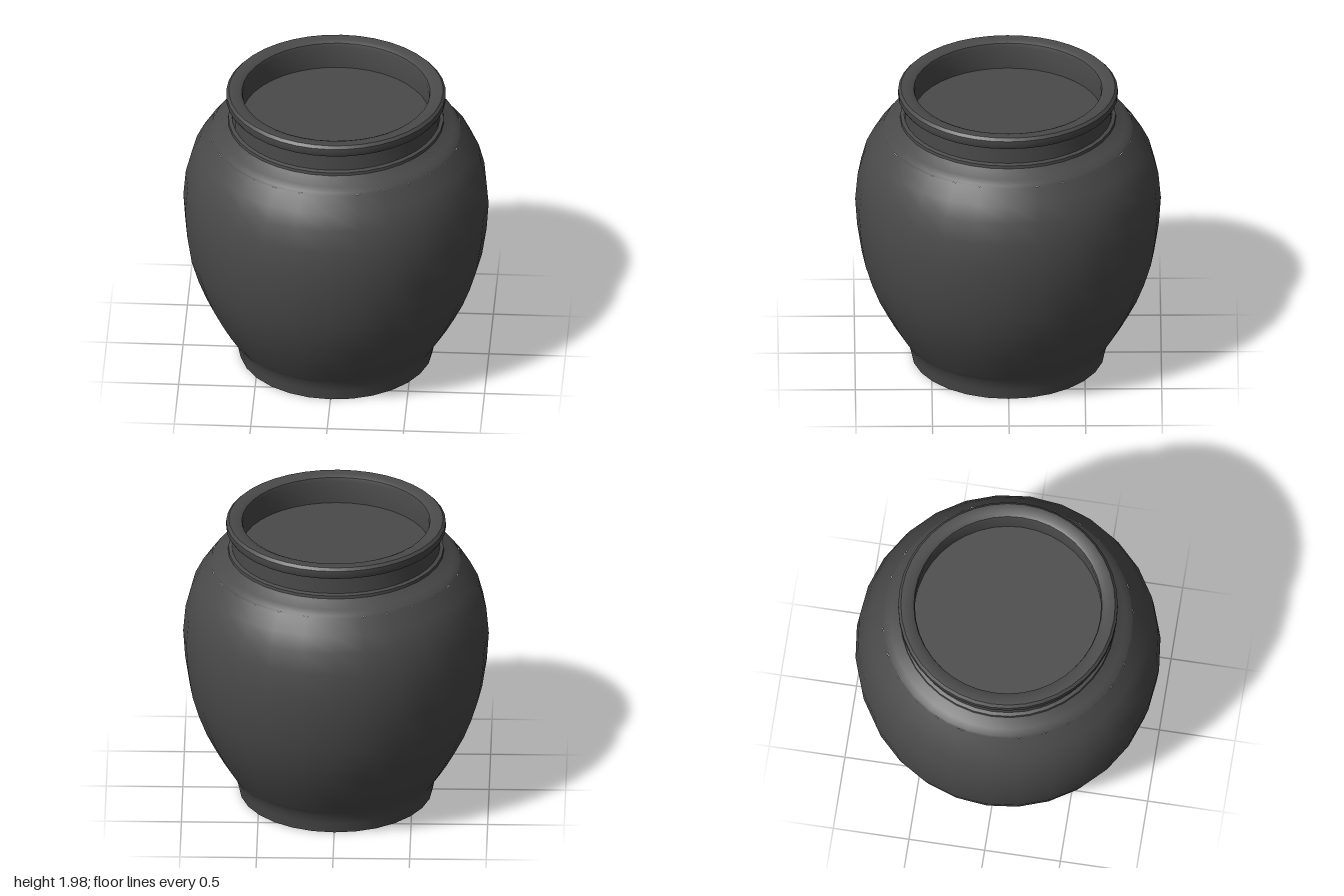
import * as THREE from 'three';
import { toCreasedNormals } from 'three/addons/utils/BufferGeometryUtils.js';

export function createModel() {
  const jar = new THREE.Group();
  jar.name = 'jar';
  const clay = new THREE.MeshStandardMaterial({ color: 0x4a4a4a });
  clay.name = 'dark glazed clay';

  // Turns a profile of [radius, height] points, keeping sharp ridges sharp
  function turn(name, profile, sides) {
    const points = profile.map(([r, y]) => new THREE.Vector2(r, y));
    const geometry = toCreasedNormals(new THREE.LatheGeometry(points, sides), 0.6);
    const mesh = new THREE.Mesh(geometry, clay);
    mesh.name = name;
    jar.add(mesh);
  }

  // Flat base and flared foot
  turn('foot', [[0, 0.01], [0.63, 0.01], [0.645, 0.08], [0.66, 0.14], [0.695, 0.19]], 28);

  // Swelling belly
  turn('belly', [
    [0.695, 0.19], [0.745, 0.27], [0.8, 0.37], [0.86, 0.49], [0.91, 0.62], [0.955, 0.77],
    [0.985, 0.97], [0.998, 1.16], [0.982, 1.34], [0.945, 1.48], [0.895, 1.58], [0.82, 1.68],
  ], 28);

  // Sloping shoulder with a low ridge at each edge
  turn('shoulder', [[0.82, 1.68], [0.81, 1.695], [0.77, 1.715], [0.705, 1.762], [0.703, 1.782], [0.68, 1.79]], 36);

  // Neck, rolled rim and inner wall
  turn('neckAndRim', [
    [0.68, 1.785], [0.68, 1.9], [0.705, 1.91], [0.717, 1.93], [0.717, 1.97], [0.7, 1.988],
    [0.64, 1.988], [0.615, 1.975], [0.608, 1.95], [0.615, 1.78],
  ], 40);

  // Floor recessed inside the mouth
  const floor = new THREE.Mesh(new THREE.CircleGeometry(0.62, 40), clay);
  floor.name = 'recessedFloor';
  floor.rotation.x = -Math.PI / 2;
  floor.position.y = 1.79;
  jar.add(floor);

  return jar;
}
